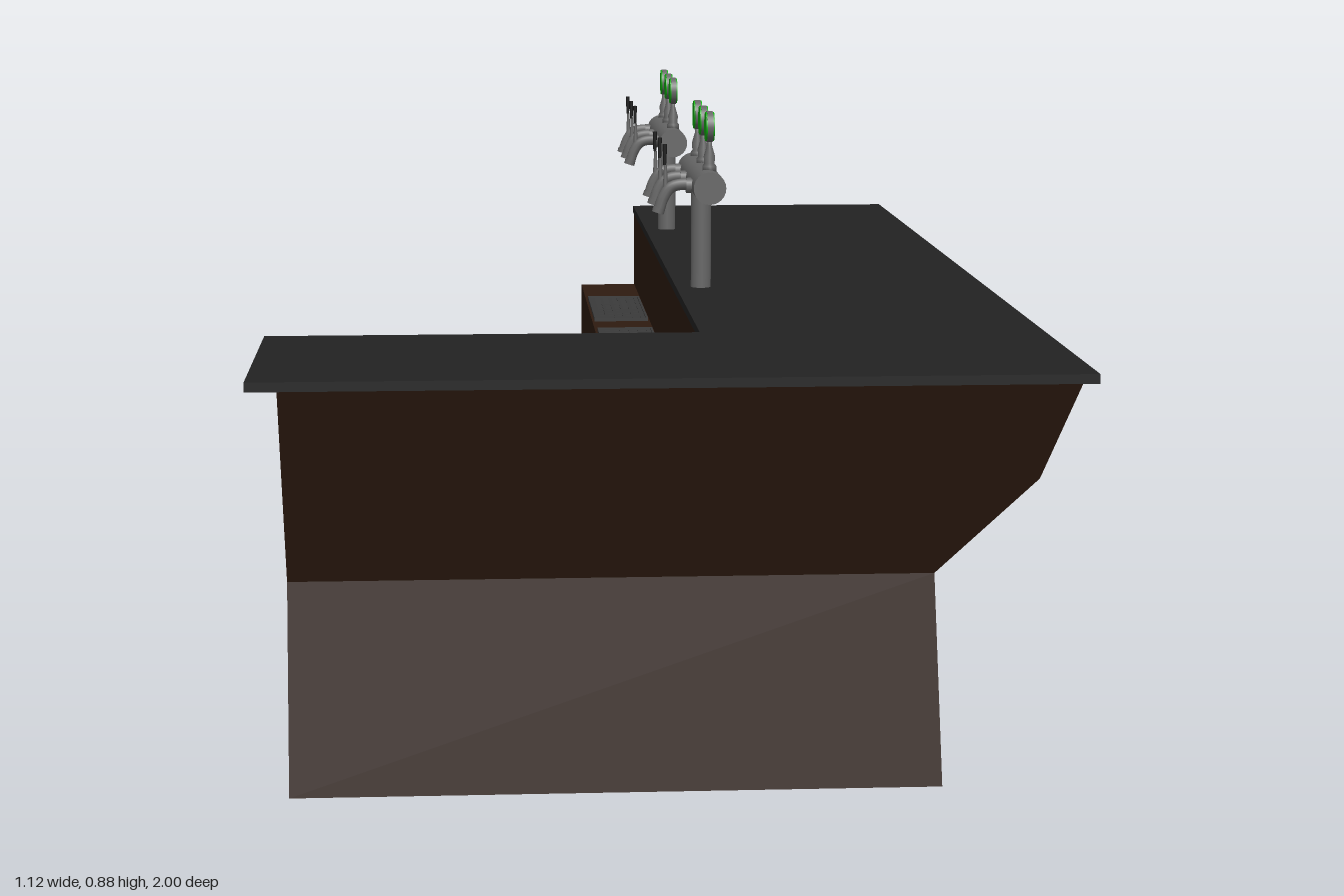
import * as THREE from 'three';

const mat = (color, extra = {}) => new THREE.MeshStandardMaterial({ color, ...extra });
const wood = mat(0x2e1b10, { flatShading: true });
const slab = mat(0x222222, { flatShading: true });
const metal = mat(0x666666);
const grate = mat(0x3a3a3a);
const black = mat(0x1a1a1a);
const green = mat(0x10b010);

function add(parent, name, geometry, material, x = 0, y = 0, z = 0) {
  const mesh = new THREE.Mesh(geometry, material);
  mesh.name = name;
  mesh.position.set(x, y, z);
  parent.add(mesh);
  return mesh;
}

// Solid stacked from L-shaped sections; each section is { y, loop of six [x, z] corners }
function loftL(sections) {
  const pos = [];
  const p = (s, i) => [s.loop[i % 6][0], s.y, s.loop[i % 6][1]];
  const quad = (a, b, c, d) => pos.push(...a, ...b, ...c, ...a, ...c, ...d);
  for (let k = 0; k < sections.length - 1; k++) {
    const lo = sections[k], hi = sections[k + 1];
    for (let i = 0; i < 6; i++) quad(p(lo, i), p(lo, i + 1), p(hi, i + 1), p(hi, i));
  }
  const bottom = sections[0], top = sections[sections.length - 1];
  for (const c of [[0, 1, 4, 5], [1, 2, 3, 4]]) {
    quad(...c.map(i => p(top, i)));
    quad(...[...c].reverse().map(i => p(bottom, i)));
  }
  const g = new THREE.BufferGeometry();
  g.setAttribute('position', new THREE.Float32BufferAttribute(pos, 3));
  g.computeVertexNormals();
  return g;
}

const INX = 0.06, INZ = 0.62;     // inner corner of the L
const ENDX = -0.52, ENDZ = -0.965; // free ends of the two runs

// L section from outer corner (ox, oz) to inner corner (ix, iz)
const section = (y, ox, oz, ix, iz, ex = ENDX, ez = ENDZ) => ({
  y, loop: [[ex, oz], [ox, oz], [ox, ez], [ix, ez], [ix, iz], [ex, iz]],
});

// Perforated drip tray, long side along x
function dripTray() {
  const tray = new THREE.Group();
  tray.name = 'dripTray';
  const L = 0.28, W = 0.098, nx = 12, nz = 5;
  const rect = (path, x, y, w, h) => {
    path.moveTo(x, y);
    path.lineTo(x + w, y);
    path.lineTo(x + w, y + h);
    path.lineTo(x, y + h);
    path.closePath();
    return path;
  };
  const shape = rect(new THREE.Shape(), -L / 2, -W / 2, L, W);
  const px = (L - 0.028) / nx, pz = (W - 0.018) / nz;
  for (let i = 0; i < nx; i++) {
    for (let j = 0; j < nz; j++) {
      shape.holes.push(rect(new THREE.Path(), -L / 2 + 0.014 + (i + 0.18) * px,
        -W / 2 + 0.009 + (j + 0.18) * pz, px * 0.64, pz * 0.64));
    }
  }
  const g = new THREE.ExtrudeGeometry(shape, { depth: 0.004, bevelEnabled: false });
  g.rotateX(-Math.PI / 2);
  add(tray, 'trayGrate', g, grate);
  // Raised rim
  for (const s of [-1, 1]) {
    add(tray, 'trayRimLong', new THREE.BoxGeometry(L, 0.006, 0.004), grate, 0, 0.003, s * (W / 2 - 0.002));
    add(tray, 'trayRimShort', new THREE.BoxGeometry(0.004, 0.006, W), grate, s * (L / 2 - 0.002), 0.003, 0);
  }
  return tray;
}

// One faucet with spout, lever and round badge; the origin is the bar centre
function faucet() {
  const tap = new THREE.Group();
  tap.name = 'faucet';
  const v = (x, y) => new THREE.Vector3(x, y, 0);
  const curve = new THREE.CatmullRomCurve3([
    v(-0.015, 0), v(-0.04, 0.002), v(-0.057, -0.003), v(-0.068, -0.018), v(-0.075, -0.038)]);
  add(tap, 'spout', new THREE.TubeGeometry(curve, 16, 0.009, 10), metal);
  const tip = add(tap, 'spoutTip', new THREE.CylinderGeometry(0.0095, 0.0095, 0.008, 12), metal, -0.0755, -0.038, 0);
  tip.rotation.z = -0.3;
  add(tap, 'spoutCollar', new THREE.CylinderGeometry(0.012, 0.012, 0.008, 12), metal, -0.029, 0, 0).rotation.z = Math.PI / 2;
  add(tap, 'leverStem', new THREE.CylinderGeometry(0.002, 0.004, 0.036, 8), metal, -0.065, 0.016, 0);
  add(tap, 'leverGrip', new THREE.CylinderGeometry(0.0035, 0.0025, 0.032, 8), black, -0.066, 0.048, 0);
  // Turned neck that carries the badge
  const profile = [[0, 0.02], [0.011, 0.02], [0.011, 0.03], [0.008, 0.034], [0.009, 0.045],
    [0.004, 0.062], [0.004, 0.072], [0, 0.072]].map(q => new THREE.Vector2(...q));
  add(tap, 'badgeNeck', new THREE.LatheGeometry(profile, 14), metal, 0.003, 0, 0);
  const disc = (name, r, h, m) => {
    add(tap, name, new THREE.CylinderGeometry(r, r, h, 28), m, 0.003, 0.091, 0).rotation.z = Math.PI / 2;
  };
  disc('badgeRim', 0.0238, 0.009, metal);
  disc('badgeFace', 0.0225, 0.013, green);
  return tap;
}

// Column, crossbar and three faucets
function tapTower() {
  const tower = new THREE.Group();
  tower.name = 'tapTower';
  add(tower, 'column', new THREE.CylinderGeometry(0.016, 0.016, 0.18, 24), metal, 0, 0.09, 0);
  add(tower, 'crossbar', new THREE.CylinderGeometry(0.025, 0.025, 0.328, 24), metal, 0, 0.175, 0).rotation.x = Math.PI / 2;
  for (const z of [-0.115, 0, 0.115]) {
    const tap = faucet();
    tap.position.set(0, 0.175, z);
    tower.add(tap);
  }
  return tower;
}

export function createModel() {
  const bar = new THREE.Group();
  bar.name = 'barCounter';

  // Body with its flared outer faces
  add(bar, 'counterBody', loftL([
    section(0, 0.375, 0.895, INX, INZ),
    section(0.29, 0.367, 0.845, INX, INZ),
    section(0.435, 0.497, 0.91, INX, INZ),
    section(0.58, 0.54, 0.975, INX, INZ),
  ]), wood);

  // Service shelf along the inner walls, with a sloping underside
  add(bar, 'serviceShelf', loftL([
    section(0.205, INX, INZ, INX - 0.001, INZ - 0.001),
    section(0.28, INX, INZ, -0.045, 0.49),
    section(0.44, INX, INZ, -0.045, 0.49),
  ]), wood);

  // Worktop
  add(bar, 'worktop', loftL([
    section(0.58, 0.555, 1, INX, INZ, -0.56, -1),
    section(0.593, 0.555, 1, INX, INZ, -0.56, -1),
  ]), slab);

  for (const z of [-0.62, -0.23, 0.15]) {
    const tray = dripTray();
    tray.rotation.y = Math.PI / 2;
    tray.position.set(0.008, 0.44, z);
    bar.add(tray);
  }
  const wingTray = dripTray();
  wingTray.position.set(-0.283, 0.44, 0.555);
  bar.add(wingTray);

  for (const z of [-0.615, 0.155]) {
    const tower = tapTower();
    tower.position.set(0.1, 0.592, z);
    bar.add(tower);
  }
  return bar;
}
